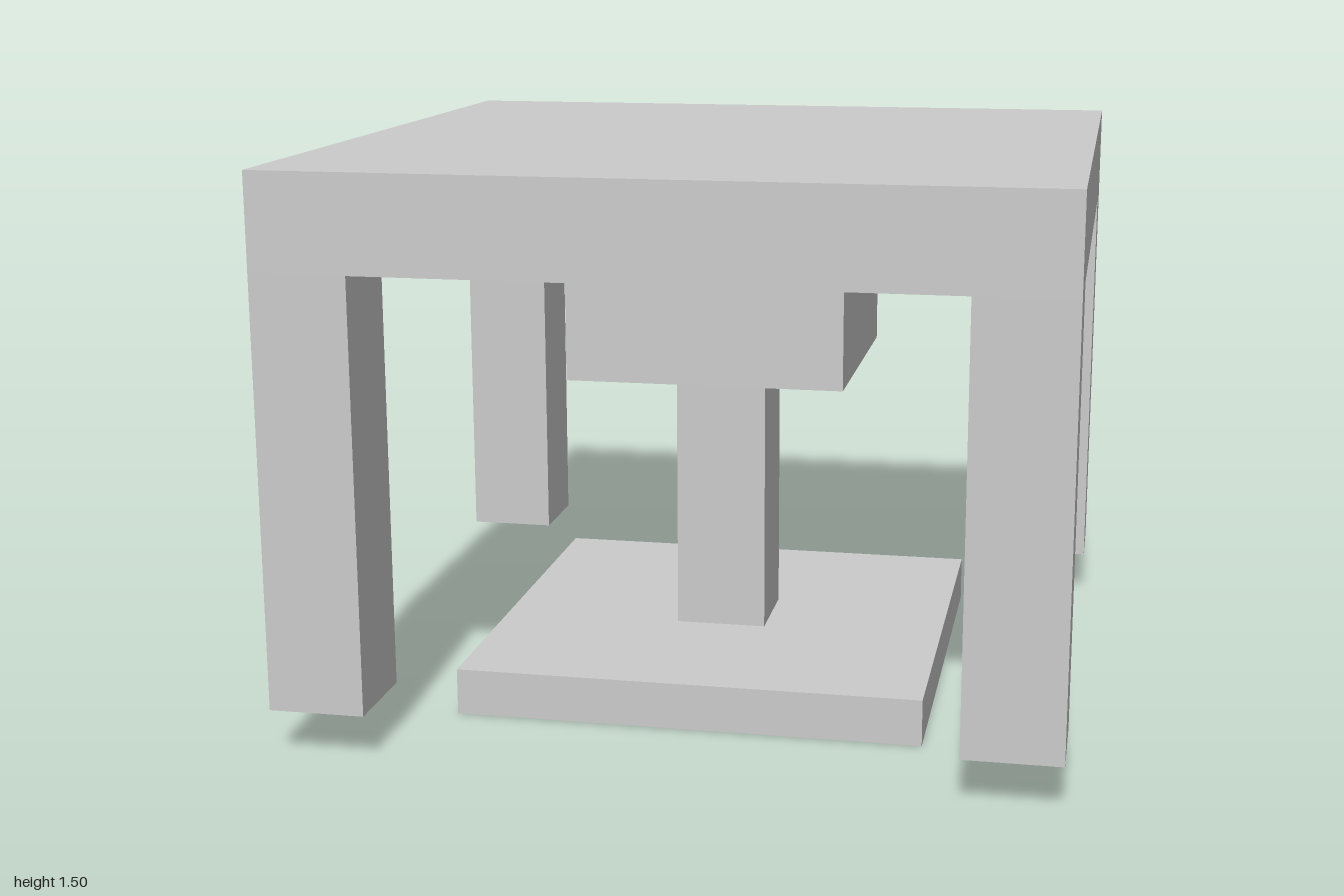
import * as THREE from 'three';

export function createModel() {
  const group = new THREE.Group();
  const grey = new THREE.MeshStandardMaterial({ color: 0xcccccc });
  const shell = new THREE.MeshStandardMaterial({
    color: 0xcccccc, flatShading: true, side: THREE.DoubleSide,
  });

  // Square block between two heights, centred on the axis
  const block = (name, width, bottom, top) => {
    const mesh = new THREE.Mesh(new THREE.BoxGeometry(width, top - bottom, width), grey);
    mesh.name = name;
    mesh.position.y = (bottom + top) / 2;
    group.add(mesh);
  };
  block('basePlate', 1.25, 0, 0.125);
  block('centrePost', 0.25, 0.125, 0.875);
  block('centreBlock', 0.75, 0.875, 1.25);
  block('tableTop', 2, 1.25, 1.5);

  // Hollow square legs, open at the bottom
  const legGeometry = new THREE.CylinderGeometry(
    0.125 * Math.SQRT2, 0.125 * Math.SQRT2, 1.125, 4, 1, true);
  legGeometry.rotateY(Math.PI / 4);
  for (const [x, side] of [[1, 'Left'], [-1, 'Right']]) {
    for (const [z, end] of [[1, 'front'], [-1, 'back']]) {
      const leg = new THREE.Mesh(legGeometry, shell);
      leg.name = `${end}${side}Leg`;
      leg.position.set(x * 0.875, 0.6875, z * 0.875);
      group.add(leg);
    }
  }
  return group;
}
